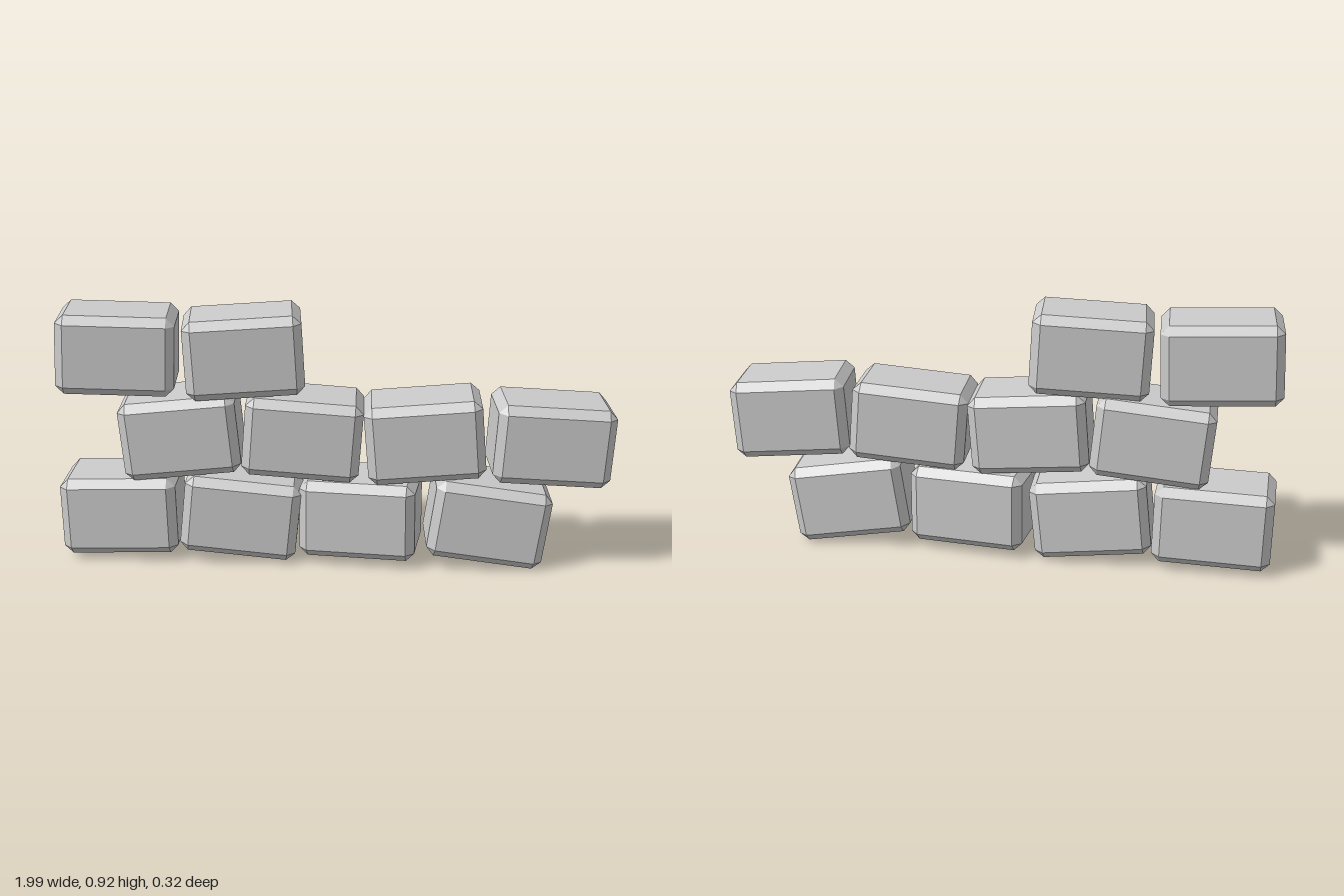
import * as THREE from 'three';
import { ConvexGeometry } from 'three/addons/geometries/ConvexGeometry.js';

const SIZE = [0.418, 0.286, 0.282];
const BEVEL = 0.03;

// Box with chamfered edges and corners: three points around every corner
function chamferedBox([w, h, d], c) {
  const points = [];
  for (const sx of [-1, 1]) for (const sy of [-1, 1]) for (const sz of [-1, 1]) {
    const x = w / 2, y = h / 2, z = d / 2;
    points.push(
      new THREE.Vector3(sx * x, sy * (y - c), sz * (z - c)),
      new THREE.Vector3(sx * (x - c), sy * y, sz * (z - c)),
      new THREE.Vector3(sx * (x - c), sy * (y - c), sz * z),
    );
  }
  return new ConvexGeometry(points);
}

// Courses of bricks: x, y, turn about y, tilt about z (degrees)
const COURSES = {
  bottomCourse: [
    [-0.772, 0.167, 1, 1.5],
    [-0.335, 0.170, 3, -6],
    [0.100, 0.172, -5, 0],
    [0.555, 0.169, 4.5, -8.5],
  ],
  middleCourse: [
    [-0.548, 0.469, 3, 5.5],
    [-0.110, 0.472, 3, -4.5],
    [0.325, 0.472, 3, 4.5],
    [0.772, 0.470, 6, -4],
  ],
  topCourse: [
    [-0.772, 0.768, 5, -2],
    [-0.320, 0.768, 6.5, 3],
  ],
};

export function createModel() {
  const wall = new THREE.Group();
  wall.name = 'brokenBrickWall';
  const geometry = chamferedBox(SIZE, BEVEL);
  const material = new THREE.MeshStandardMaterial({ color: 0xcccccc, flatShading: true });
  const rad = THREE.MathUtils.degToRad;

  for (const [name, bricks] of Object.entries(COURSES)) {
    const course = new THREE.Group();
    course.name = name;
    bricks.forEach(([x, y, turn, tilt], i) => {
      const brick = new THREE.Mesh(geometry, material);
      brick.name = `brick${i + 1}`;
      brick.position.set(x, y, 0);
      brick.rotation.set(0, rad(turn), rad(tilt));
      course.add(brick);
    });
    wall.add(course);
  }
  return wall;
}
